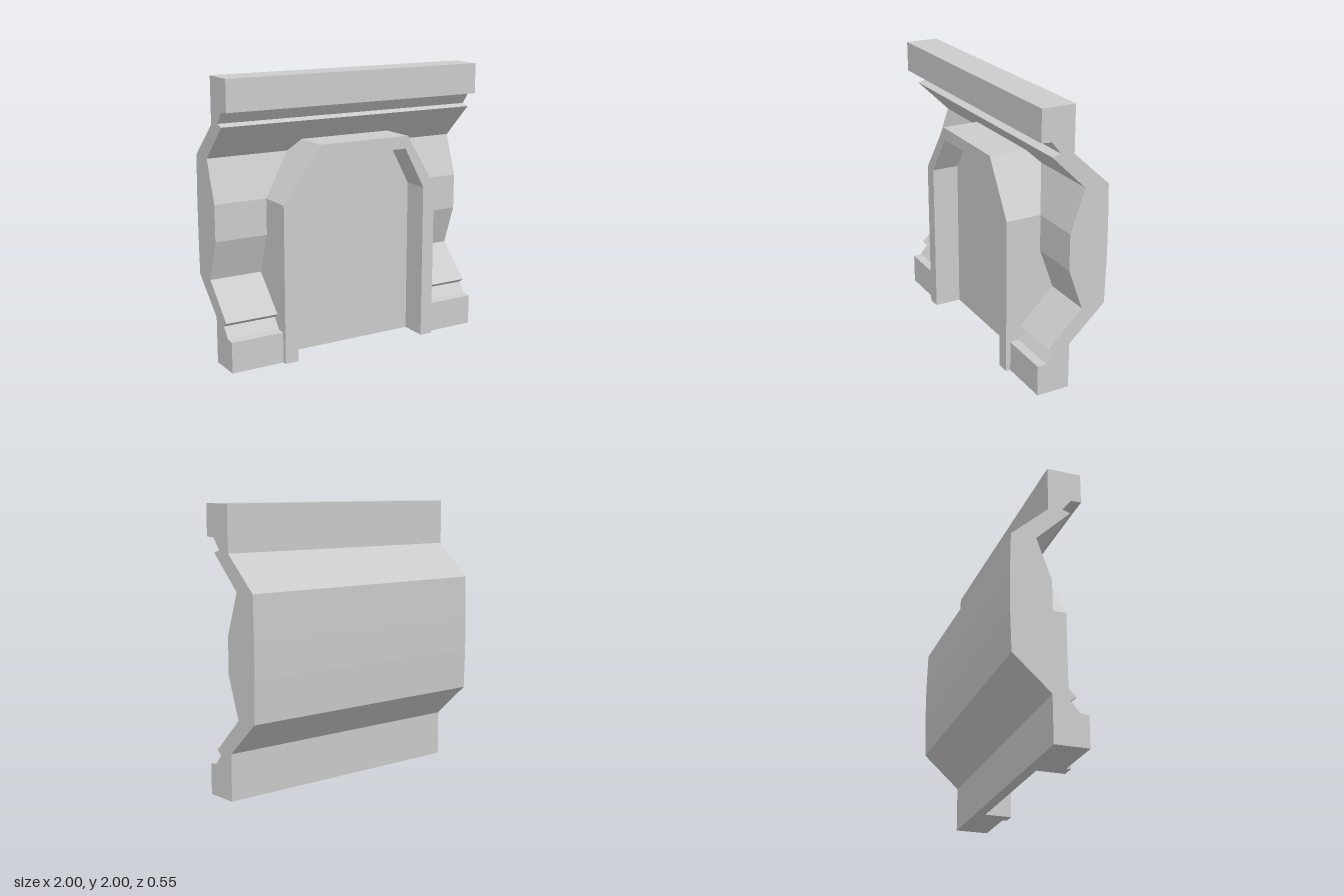
import * as THREE from 'three';

const material = new THREE.MeshStandardMaterial({ color: 0xcccccc, flatShading: true });

const outline = (points) => new THREE.Shape(points.map(([a, b]) => new THREE.Vector2(a, b)));

// Extrudes a [z, y] side profile along x from x0 to x1
function sideProfile(name, points, x0, x1) {
  const geo = new THREE.ExtrudeGeometry(outline(points), { depth: x1 - x0, bevelEnabled: false });
  geo.rotateY(-Math.PI / 2).translate(x1, 0, 0);
  const mesh = new THREE.Mesh(geo, material);
  mesh.name = name;
  return mesh;
}

// Extrudes an [x, y] front outline along z from z0 to z1
function frontOutline(name, points, z0, z1) {
  const geo = new THREE.ExtrudeGeometry(outline(points), { depth: z1 - z0, bevelEnabled: false });
  geo.translate(0, 0, z0);
  const mesh = new THREE.Mesh(geo, material);
  mesh.name = name;
  return mesh;
}

export function createModel() {
  const group = new THREE.Group();
  group.name = 'wallWithDoorway';

  const innerLeft = 0.53, innerRight = -0.51;
  const outerLeft = 0.625, outerRight = -0.61;
  const panelZ = 0.075, frameZ = 0.275, rearZ = -0.12;
  const shoulderY = 1.13;

  // Wall cross-section, [z, y]
  const lowerFront = [
    [0.242, 0], [0.242, 0.22], [0.18, 0.225], [0.12, 0.3], [0.16, 0.33],
    [-0.09, 0.575], [0.015, 0.87],
  ];
  const upperFront = [
    [0.015, shoulderY], [-0.09, 1.43], [0.16, 1.675], [0.1, 1.692],
    [0.165, 1.775], [0.242, 1.78], [0.242, 2],
  ];
  const back = [
    [0, 2], [0, 1.675], [-0.267, 1.43], [-0.275, 1.13], [-0.275, 0.87],
    [-0.267, 0.575], [0, 0.33], [0, 0],
  ];
  const wall = [...lowerFront, ...upperFront, ...back];
  const doorWall = [[panelZ, 0], [panelZ, shoulderY], ...upperFront, ...back];

  group.add(
    sideProfile('rightWall', wall, -1, innerRight),
    sideProfile('doorwayWall', doorWall, innerRight, innerLeft),
    sideProfile('leftWall', wall, innerLeft, 1),
  );

  // Door panel above the shoulder
  group.add(frontOutline('doorPanelHead', [
    [innerRight, shoulderY], [innerLeft, shoulderY], [0.37, 1.43], [-0.3, 1.43],
  ], rearZ, panelZ));

  // Door frame: two jambs that follow the wall, and an angled head
  const jamb = [
    [frameZ, 0], [frameZ, shoulderY], [rearZ, shoulderY],
    [rearZ, 0.575], [0.01, 0.33], [0.01, 0],
  ];
  group.add(
    sideProfile('rightJamb', jamb, outerRight, innerRight),
    sideProfile('leftJamb', jamb, innerLeft, outerLeft),
    frontOutline('frameHead', [
      [outerRight, shoulderY], [innerRight, shoulderY], [-0.3, 1.43], [0.37, 1.43],
      [innerLeft, shoulderY], [outerLeft, shoulderY], [0.39, 1.52], [-0.32, 1.52],
    ], rearZ, frameZ),
  );

  return group;
}
